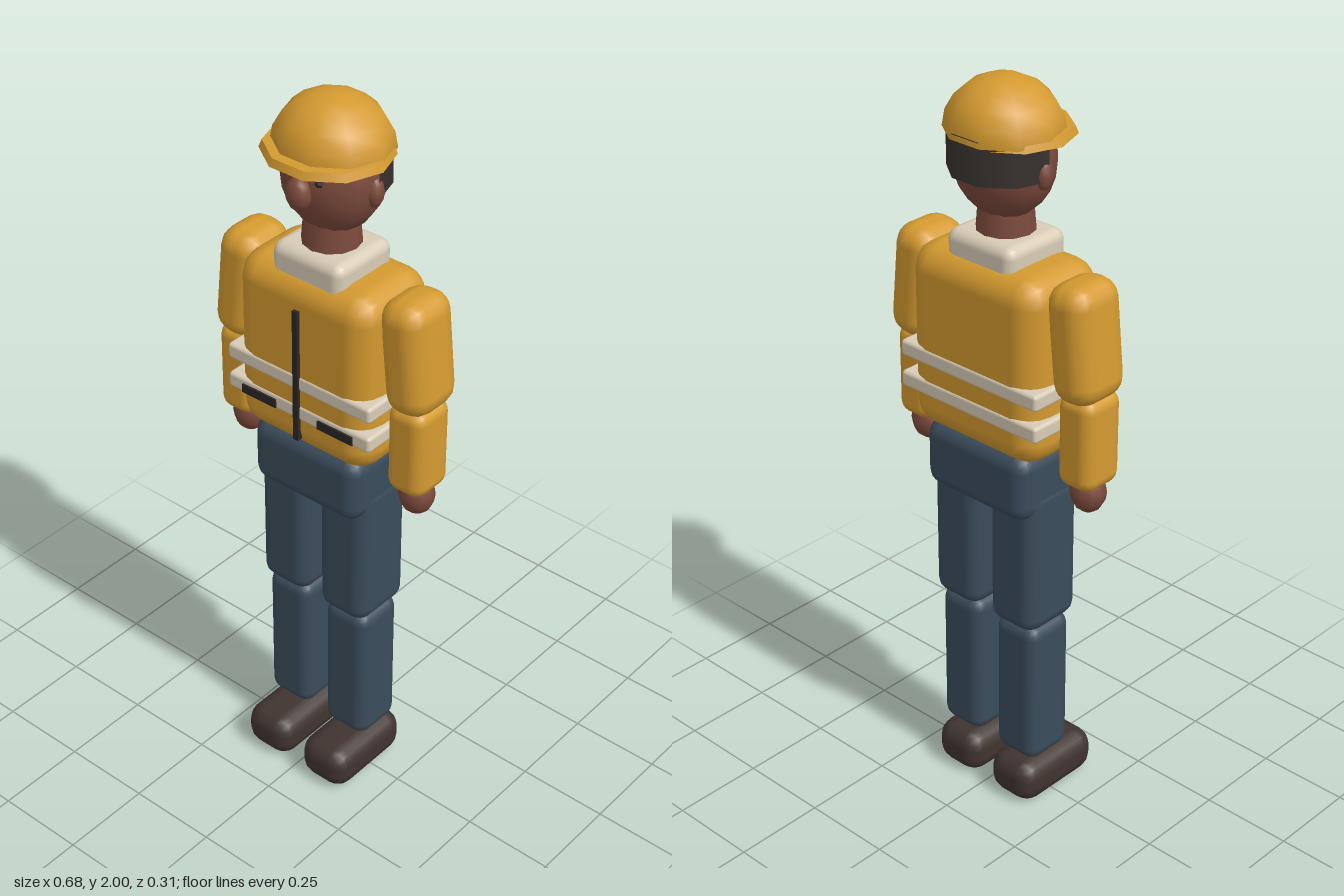
import * as THREE from 'three';
import { RoundedBoxGeometry } from 'three/addons/geometries/RoundedBoxGeometry.js';

export function createModel() {
  const model = new THREE.Group();
  model.name = 'worker';

  const material = (name, color, side = THREE.FrontSide) => {
    const m = new THREE.MeshStandardMaterial({ color, side });
    m.name = name;
    return m;
  };
  const yellow = material('safetyYellow', 0xd49a30);
  const beige = material('reflectiveBeige', 0xd8ccb6);
  const denim = material('denimBlue', 0x3b4c5b);
  const skin = material('skin', 0x7c4a3c);
  const shoe = material('shoeBrown', 0x40342f);
  const hairDark = material('hairDark', 0x38322e, THREE.DoubleSide);
  const trim = material('trimBlack', 0x2b2724);

  const add = (name, geometry, mat, x, y, z) => {
    const mesh = new THREE.Mesh(geometry, mat);
    mesh.name = name;
    mesh.position.set(x, y, z);
    model.add(mesh);
    return mesh;
  };
  const box = (name, mat, [w, h, d], radius, [x, y, z]) =>
    add(name, new RoundedBoxGeometry(w, h, d, 2, radius), mat, x, y, z);
  const ball = (name, mat, [rx, ry, rz], [x, y, z], sides = 12, rings = 8) =>
    add(name, new THREE.SphereGeometry(1, sides, rings).scale(rx, ry, rz), mat, x, y, z);

  const Z = -0.02; // depth of the body axis

  // Jacket, collar and hips
  box('jacket', yellow, [0.425, 0.5, 0.268], 0.07, [0, 1.31, Z]);
  box('collar', beige, [0.22, 0.1, 0.205], 0.03, [0, 1.565, Z + 0.005]);
  box('hips', denim, [0.345, 0.19, 0.245], 0.045, [0, 0.985, Z]);

  // Reflective bands and jacket trim
  for (const y of [1.266, 1.18]) box('reflectiveBand', beige, [0.456, 0.044, 0.274], 0.01, [0, y, Z]);
  add('zip', new THREE.BoxGeometry(0.016, 0.375, 0.016), trim, 0, 1.288, 0.116);

  for (const side of [-1, 1]) {
    add('pocketTrim', new THREE.BoxGeometry(0.11, 0.024, 0.008), trim, side * 0.123, 1.176, 0.118);

    // Arms
    const upperArm = box('upperArm', yellow, [0.13, 0.31, 0.17], 0.055, [side * 0.264, 1.405, Z]);
    upperArm.rotation.z = side * 0.1;
    box('forearm', yellow, [0.112, 0.255, 0.13], 0.035, [side * 0.275, 1.143, Z + 0.005]);
    ball('hand', skin, [0.048, 0.056, 0.045], [side * 0.276, 0.992, Z + 0.005], 10, 8);

    // Legs
    box('thigh', denim, [0.155, 0.42, 0.185], 0.04, [side * 0.098, 0.76, Z]);
    box('shin', denim, [0.14, 0.42, 0.15], 0.035, [side * 0.098, 0.345, Z]);
    box('shoe', shoe, [0.155, 0.125, 0.275], 0.05, [side * 0.098, 0.0625, 0.018]);

    // Ears and eyes
    ball('ear', skin, [0.022, 0.04, 0.025], [side * 0.125, 1.785, Z], 10, 6);
    ball('eye', trim, [0.011, 0.008, 0.008], [side * 0.048, 1.823, 0.089], 8, 6);
  }

  // Head
  add('neck', new THREE.CylinderGeometry(0.068, 0.078, 0.12, 12), skin, 0, 1.64, Z + 0.005);
  ball('head', skin, [0.135, 0.155, 0.12], [0, 1.802, Z], 14, 12);
  ball('nose', skin, [0.034, 0.044, 0.03], [0, 1.788, 0.103], 10, 8);

  // Hair wraps the back half of the head
  const hairShape = new THREE.CylinderGeometry(1, 1, 0.11, 5, 1, false, Math.PI / 2, Math.PI);
  add('hair', hairShape.scale(0.14, 1, 0.144), hairDark, 0, 1.825, Z + 0.003);

  // Hard hat: ten-sided dome with a brim set slightly forward
  const dome = new THREE.SphereGeometry(1, 10, 5, 0, Math.PI * 2, 0, Math.PI / 2);
  add('helmetDome', dome.scale(0.153, 0.135, 0.143), yellow, 0, 1.865, Z);
  const brim = new THREE.CylinderGeometry(0.95, 1, 0.02, 10);
  brim.rotateY(Math.PI / 10).scale(0.165, 1, 0.155);
  add('helmetBrim', brim, yellow, 0, 1.868, 0);

  return model;
}
